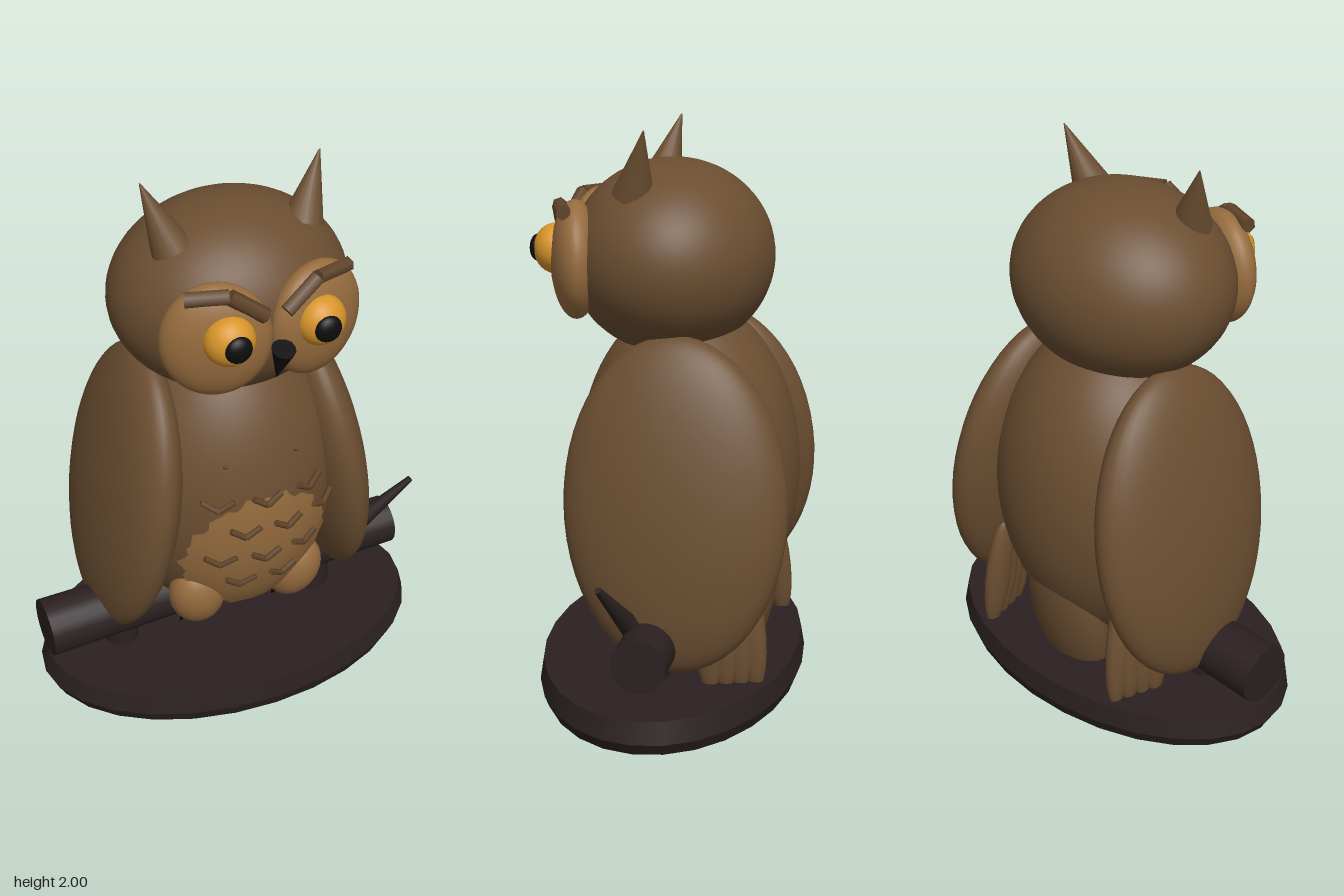
import * as THREE from 'three';

const mat = (name, color) => {
  const m = new THREE.MeshStandardMaterial({ color });
  m.name = name;
  return m;
};

export function createModel() {
  const owl = new THREE.Group();
  owl.name = 'owl';
  const brown = mat('brown feathers', 0x6b4e31);
  const tan = mat('tan feathers', 0x966c3e);
  const mark = mat('feather marks', 0x61452a);
  const amber = mat('amber', 0xd8952a);
  const black = mat('black', 0x0d0d0d);
  const wood = mat('dark wood', 0x2b2021);

  const add = (name, geo, material, pos = [0, 0, 0], rot = [0, 0, 0]) => {
    const mesh = new THREE.Mesh(geo, material);
    mesh.name = name;
    mesh.position.set(...pos);
    mesh.rotation.set(...rot);
    owl.add(mesh);
    return mesh;
  };
  const ball = (name, material, pos, radii, rot, seg = 32) =>
    add(name, new THREE.SphereGeometry(1, seg, Math.round(seg * 0.7)).scale(...radii), material, pos, rot);
  // tapered rod between two points
  const rod = (name, material, a, b, ra, rb, sides = 12) => {
    const from = new THREE.Vector3(...a), to = new THREE.Vector3(...b);
    const dir = to.clone().sub(from);
    const mesh = add(name, new THREE.CylinderGeometry(rb, ra, dir.length(), sides), material);
    mesh.position.copy(from).addScaledVector(dir, 0.5);
    mesh.quaternion.setFromUnitVectors(new THREE.Vector3(0, 1, 0), dir.normalize());
    return mesh;
  };

  // body and head
  const B = { y: 0.8, z: -0.055, rx: 0.42, ry: 0.6, rz: 0.39 };
  ball('body', brown, [0, B.y, B.z], [B.rx, B.ry, B.rz], undefined, 48);
  ball('head', brown, [0, 1.553, 0.005], [0.41, 0.33, 0.35], undefined, 48);
  const bodyZ = (x, y) =>
    B.z + B.rz * Math.sqrt(Math.max(0, 1 - (x / B.rx) ** 2 - ((y - B.y) / B.ry) ** 2));

  // ragged belly patch laid over the body
  const patch = new THREE.RingGeometry(0.001, 1, 72, 8);
  const p = patch.attributes.position;
  for (let i = 0; i < p.count; i++) {
    const r = Math.hypot(p.getX(i), p.getY(i)), a = Math.atan2(p.getY(i), p.getX(i));
    const k = r > 0.99 ? 1 + 0.03 * Math.cos(a * 24) + 0.03 * Math.cos(a * 14) : 1;
    const x = 0.272 * k * p.getX(i), y = 0.625 + 0.28 * k * p.getY(i);
    p.setXYZ(i, x, y, bodyZ(x, y) + 0.009);
  }
  patch.computeVertexNormals();
  add('bellyPatch', patch, tan);

  // chevron feather marks on the chest
  const rows = [[0.9, [-0.17, 0, 0.17]], [0.78, [-0.08, 0.08, 0.245]],
    [0.655, [-0.16, 0, 0.16]], [0.535, [-0.08, 0.08]]];
  for (const [y, xs] of rows) {
    for (const x of xs) {
      for (const s of [-1, 1]) {
        const tip = [x, y - 0.02, bodyZ(x, y - 0.02) + 0.018];
        const xe = x + s * 0.052;
        rod('featherMark', mark, tip, [xe, y + 0.015, bodyZ(xe, y + 0.015) + 0.018], 0.011, 0.011, 6);
      }
    }
  }

  // paired parts
  for (const s of [-1, 1]) {
    ball('chestFleck', mark, [s * 0.13, 1.035, bodyZ(0.13, 1.035)], [0.009, 0.009, 0.009], undefined, 8);
    ball('wing', brown, [s * 0.368, 0.78, -0.077], [0.142, 0.565, 0.38], [0.04, 0, s * 0.165], 40);
    for (let i = 0; i < 4; i++) {
      ball('wingFeather', brown, [s * (0.365 - i * 0.015), 0.35, -0.195 - i * 0.044],
        [0.038, 0.23, 0.055], [0.04 + i * 0.03, 0, s * 0.06], 16);
    }

    // face
    ball('faceDisc', tan, [s * 0.172, 1.557, 0.3], [0.182, 0.2, 0.085], [0, s * 0.28, 0]);
    ball('eye', amber, [s * 0.157, 1.59, 0.372], [0.085, 0.085, 0.075], [0, s * 0.15, 0], 24);
    ball('pupil', black, [s * 0.153, 1.59, 0.434], [0.046, 0.046, 0.028], undefined, 20);
    const brow = [[0.28, 1.728, 0.31], [0.15, 1.735, 0.358], [0.035, 1.652, 0.38]];
    for (let i = 0; i < 2; i++) {
      const a = brow[i], b = brow[i + 1];
      rod('brow', mark, [s * a[0], a[1], a[2]], [s * b[0], b[1], b[2]], 0.026, 0.026, 6);
    }
    rod('earTuft', brown, [s * 0.228, 1.785, 0.088], [s * 0.308, 2, 0.035], 0.07, 0.002, 16);

    // feet with three claws each
    ball('foot', tan, [s * 0.192, 0.41, 0.165], [0.103, 0.135, 0.09], [0.25, 0, s * -0.22], 24);
    for (const c of [-1, 0, 1]) {
      const x = s * 0.185 + c * 0.055;
      rod('claw', black, [x, 0.335, 0.165], [x, 0.255, 0.12], 0.02, 0.002, 8);
    }
  }

  rod('beak', black, [0, 1.555, 0.435], [0, 1.425, 0.388], 0.04, 0.002, 12);
  ball('tail', brown, [0, 0.32, -0.265], [0.17, 0.326, 0.1], [-0.22, 0, 0]);

  // perch with a twig and two posts
  rod('perch', wood, [-0.715, 0.285, -0.01], [0.68, 0.333, -0.02], 0.107, 0.092, 20);
  rod('twig', wood, [0.48, 0.36, 0.03], [0.71, 0.602, 0.1], 0.042, 0.012, 8);
  for (const x of [-0.43, 0.36]) rod('post', wood, [x, 0.14, 0], [x, 0.28, 0], 0.062, 0.062, 12);

  // oval plinth with a bevelled rim
  for (const [top, bottom, y0, y1] of [[0.73, 0.705, 0.035, 0.08], [0.71, 0.73, 0.08, 0.155]]) {
    const geo = new THREE.CylinderGeometry(top, bottom, y1 - y0, 28).scale(1, 1, 0.64);
    add('plinth', geo, wood, [0, (y0 + y1) / 2, -0.005]);
  }
  return owl;
}
